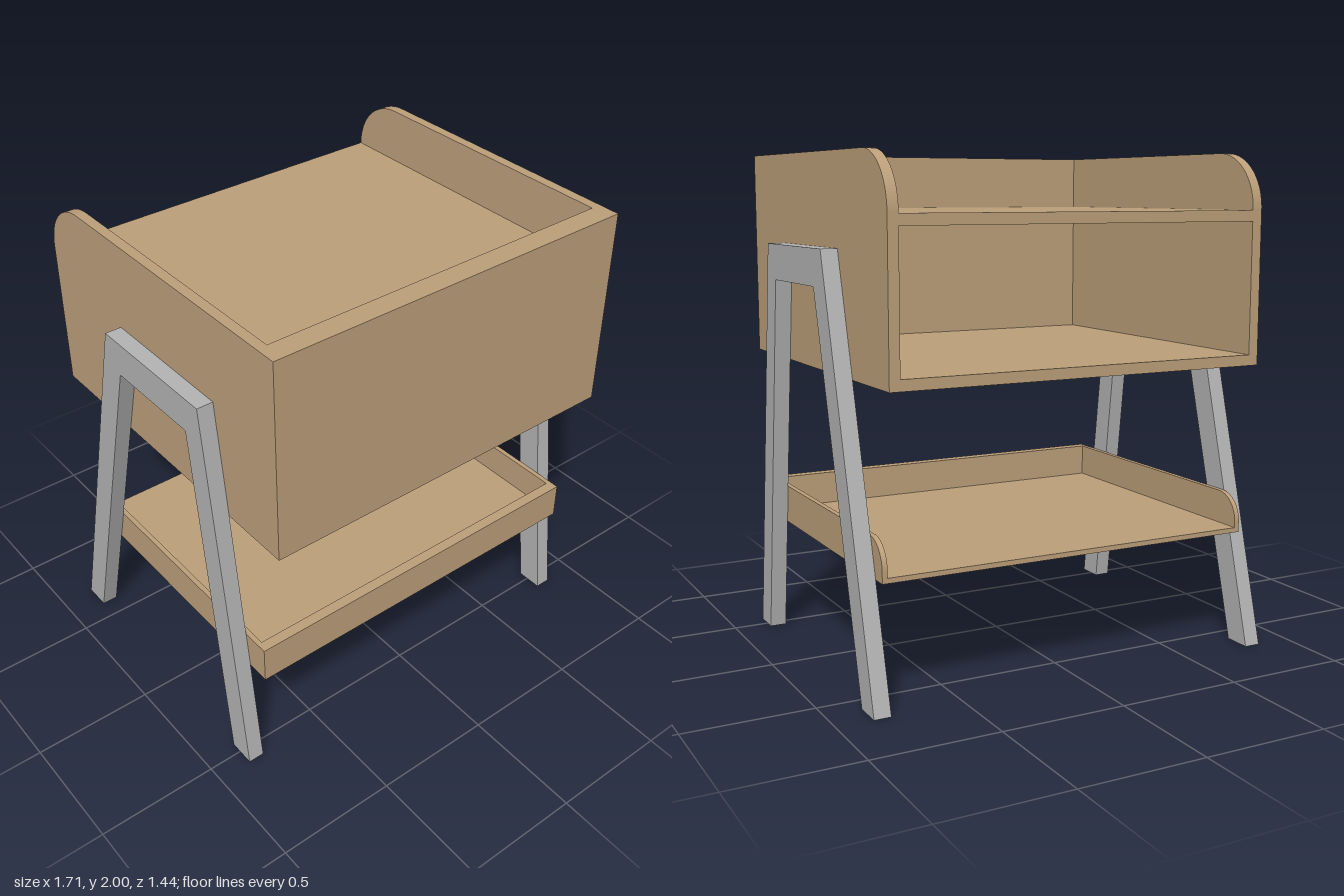
import * as THREE from 'three';

const wood = new THREE.MeshStandardMaterial({ color: 0xbc9f7a });
wood.name = 'wood';
const metal = new THREE.MeshStandardMaterial({ color: 0xb3b3b3 });
metal.name = 'greyMetal';

const HALF_WIDTH = 0.79;

function addBox(group, name, [x0, x1], [y0, y1], [z0, z1]) {
  const mesh = new THREE.Mesh(new THREE.BoxGeometry(x1 - x0, y1 - y0, z1 - z0), wood);
  mesh.position.set((x0 + x1) / 2, (y0 + y1) / 2, (z0 + z1) / 2);
  mesh.name = name;
  group.add(mesh);
}

// Extrudes a (z, y) profile along x, filling x0 to x1
function addProfile(group, name, shape, x0, x1, material) {
  const geometry = new THREE.ExtrudeGeometry(shape, {
    depth: x1 - x0, bevelEnabled: false, curveSegments: 24,
  });
  geometry.rotateY(-Math.PI / 2);
  geometry.translate(x1, 0, 0);
  const mesh = new THREE.Mesh(geometry, material);
  mesh.name = name;
  group.add(mesh);
}

// Side panel outline with a rounded upper back corner
function sideShape(y0, y1, back, front, radius) {
  const shape = new THREE.Shape();
  shape.moveTo(back, y0);
  shape.lineTo(front, y0);
  shape.lineTo(front, y1);
  shape.lineTo(back + radius, y1);
  shape.absarc(back + radius, y1 - radius, radius, Math.PI / 2, Math.PI, false);
  shape.closePath();
  return shape;
}

// Front panel, two rounded sides and any number of horizontal boards
function makeCase(name, { y0, y1, back, front, radius, side, face, boards }) {
  const group = new THREE.Group();
  group.name = name;
  const inner = HALF_WIDTH - side;
  const shape = sideShape(y0, y1, back, front, radius);
  addProfile(group, name + 'LeftSide', shape, inner, HALF_WIDTH, wood);
  addProfile(group, name + 'RightSide', shape, -HALF_WIDTH, -inner, wood);
  addBox(group, name + 'Front', [-inner, inner], [y0, y1], [front - face, front]);
  for (const [part, low, high] of boards) {
    addBox(group, name + part, [-inner, inner], [low, high], [back, front - face]);
  }
  return group;
}

export function createModel() {
  const model = new THREE.Group();
  model.name = 'bedsideTable';

  // Upper cabinet, open at the back, with a recessed top
  model.add(makeCase('cabinet', {
    y0: 1.17, y1: 2, back: -0.72, front: 0.72, radius: 0.22, side: 0.042, face: 0.09,
    boards: [['Floor', 1.17, 1.213], ['Top', 1.735, 1.778]],
  }));

  // Shallow lower tray
  model.add(makeCase('tray', {
    y0: 0.47, y1: 0.625, back: -0.635, front: 0.605, radius: 0.11, side: 0.021, face: 0.045,
    boards: [['Floor', 0.47, 0.49]],
  }));

  // Bent leg frame on each side
  const legShape = new THREE.Shape([
    [0.455, 0], [0.567, 0], [0.357, 1.643], [-0.25, 1.643],
    [-0.703, 0], [-0.588, 0], [-0.168, 1.5], [0.27, 1.5],
  ].map(([z, y]) => new THREE.Vector2(z, y)));
  addProfile(model, 'leftLegFrame', legShape, HALF_WIDTH, 0.857, metal);
  addProfile(model, 'rightLegFrame', legShape, -0.857, -HALF_WIDTH, metal);

  return model;
}
